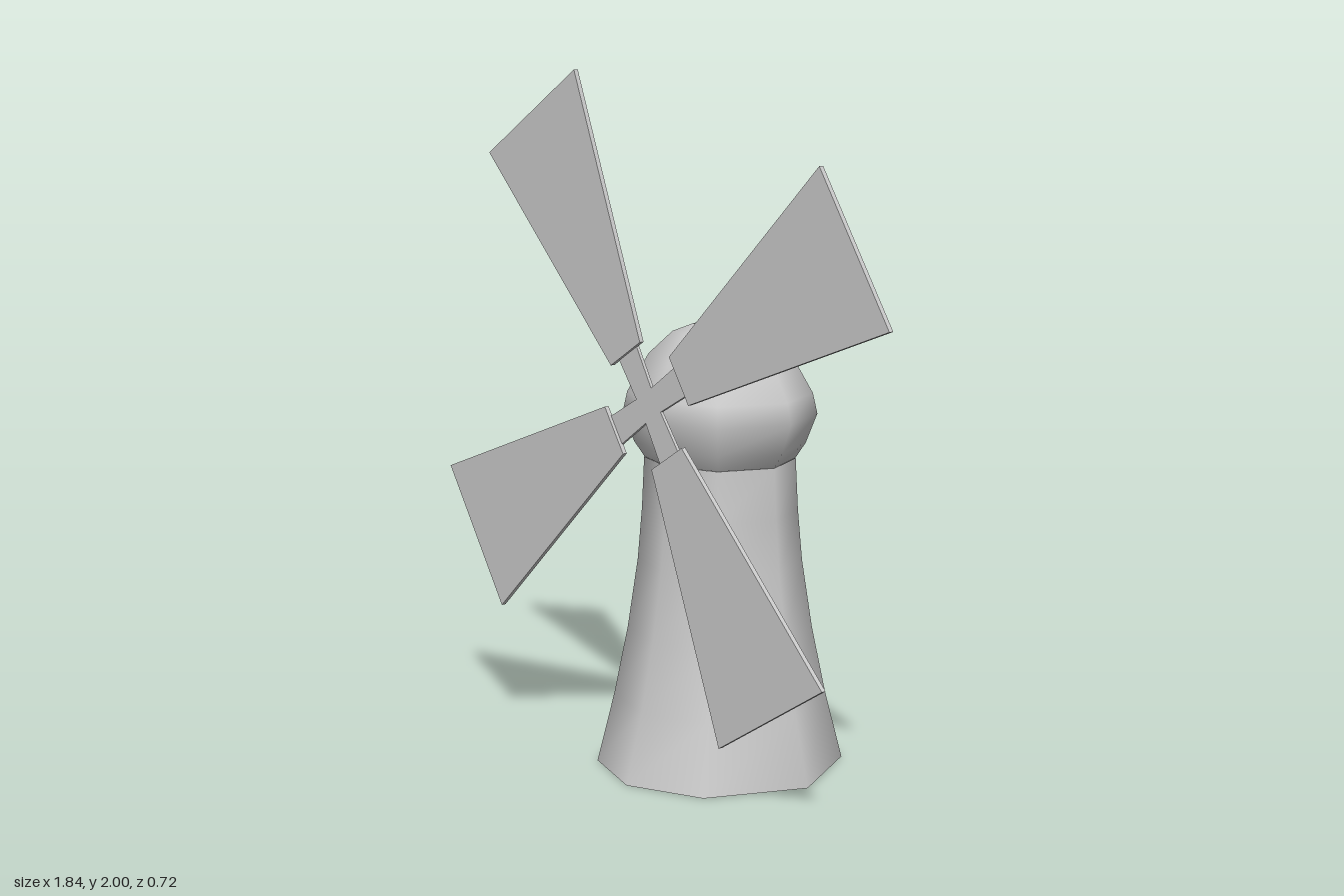
import * as THREE from 'three';

const material = new THREE.MeshStandardMaterial({ color: 0xcccccc, side: THREE.DoubleSide });

// Smooth eight-sided open shell; each ring is [y, xRadius, zRadius, cornerX, cornerZ]
function loftOctagon(name, rings) {
  const positions = [], index = [];
  for (const [y, x, z, cx, cz] of rings) {
    const corners = [[x, 0], [cx, cz], [0, z], [-cx, cz], [-x, 0], [-cx, -cz], [0, -z], [cx, -cz]];
    for (const [px, pz] of corners) positions.push(px, y, pz);
  }
  for (let r = 0; r < rings.length - 1; r++) {
    for (let i = 0; i < 8; i++) {
      const a = r * 8 + i, b = r * 8 + (i + 1) % 8;
      index.push(a, a + 8, b, b, a + 8, b + 8);
    }
  }
  const geometry = new THREE.BufferGeometry();
  geometry.setAttribute('position', new THREE.Float32BufferAttribute(positions, 3));
  geometry.setIndex(index);
  geometry.computeVertexNormals();
  const mesh = new THREE.Mesh(geometry, material);
  mesh.name = name;
  return mesh;
}

// Flat tapered board along +y
function taperedBoard(name, y0, halfWidth0, y1, halfWidth1, z, depth) {
  const shape = new THREE.Shape([
    new THREE.Vector2(-halfWidth0, y0), new THREE.Vector2(halfWidth0, y0),
    new THREE.Vector2(halfWidth1, y1), new THREE.Vector2(-halfWidth1, y1),
  ]);
  const geometry = new THREE.ExtrudeGeometry(shape, { depth, bevelEnabled: false });
  geometry.translate(0, 0, z);
  const mesh = new THREE.Mesh(geometry, material);
  mesh.name = name;
  return mesh;
}

export function createModel() {
  const model = new THREE.Group();
  model.name = 'windmill';

  // Flared tower, open underneath
  model.add(loftOctagon('tower', [
    [0, 0.365, 0.36, 0.23, 0.275],
    [0.2, 0.315, 0.302, 0.205, 0.23],
    [0.4, 0.275, 0.258, 0.183, 0.195],
    [0.6, 0.246, 0.226, 0.166, 0.17],
    [0.75, 0.233, 0.212, 0.16, 0.158],
    [0.9, 0.225, 0.204, 0.156, 0.152],
  ]));

  // Domed cap with a small opening at the crown
  const capProfile = [
    [0.9, 0.225], [0.945, 0.256], [1.03, 0.29], [1.09, 0.276],
    [1.2, 0.212], [1.265, 0.14], [1.285, 0.085], [1.29, 0.035],
  ];
  model.add(loftOctagon('cap', capProfile.map(([y, r]) => [y, r, r * 0.905, r * 0.69, r * 0.67])));

  // Four sails on a cross of short arms
  const sails = new THREE.Group();
  sails.name = 'sails';
  sails.position.set(-0.003, 1.08, 0);
  for (let i = 0; i < 4; i++) {
    const sail = new THREE.Group();
    sail.name = 'sail';
    sail.rotation.z = THREE.MathUtils.degToRad(32) + i * Math.PI / 2;
    sail.add(taperedBoard('arm', 0, 0.035, 0.18, 0.045, 0.258, 0.01));
    sail.add(taperedBoard('blade', 0.162, 0.074, 0.938, 0.234, 0.264, 0.014));
    sails.add(sail);
  }
  model.add(sails);
  return model;
}
